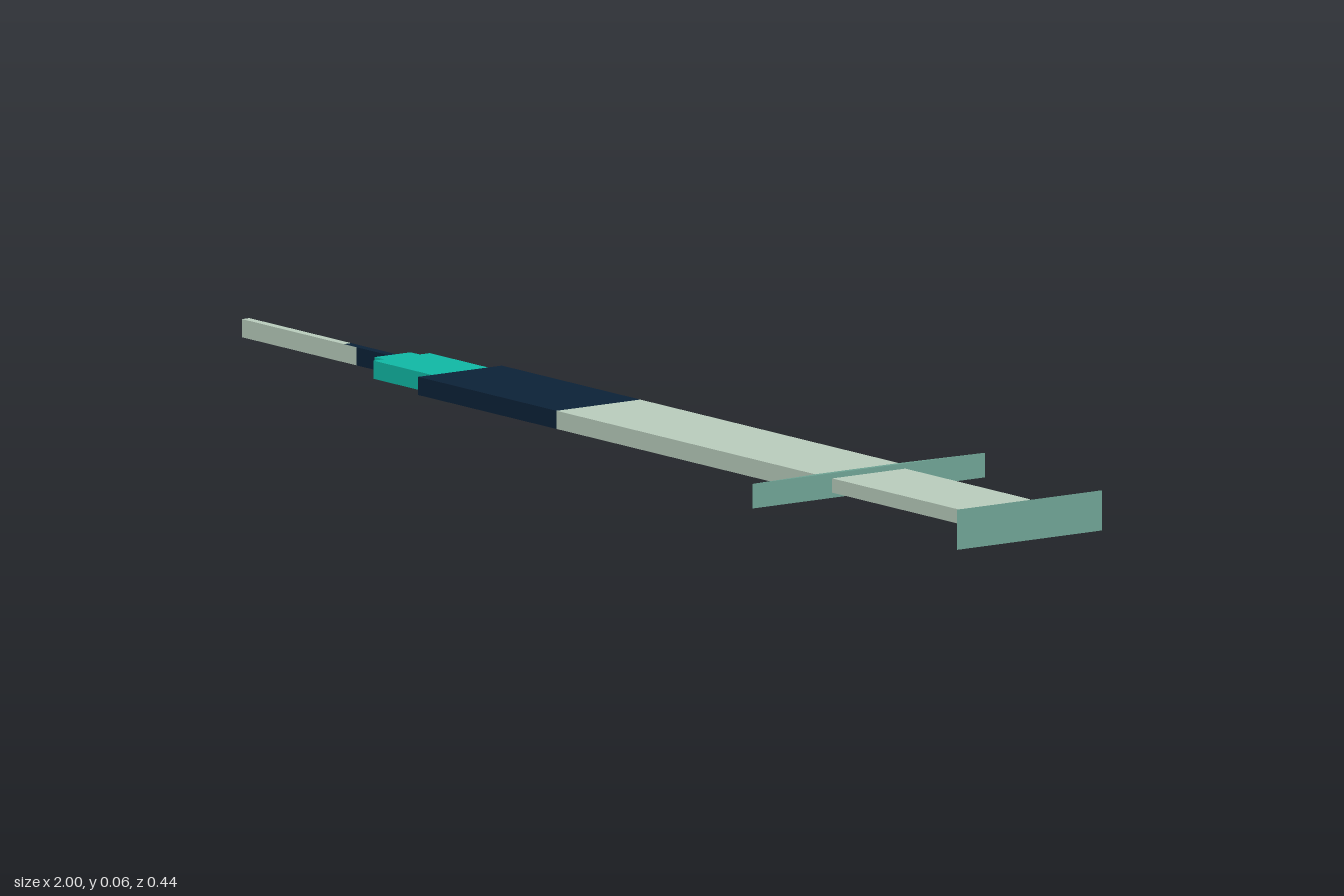
import * as THREE from 'three';

const CENTRE_Y = 0.031;

function material(name, color) {
  const m = new THREE.MeshStandardMaterial({ color });
  m.name = name;
  return m;
}

// Rectangular bar along x, from a section [x, halfHeight, halfWidth] to another.
function bar(name, [x0, h0, w0], [x1, h1, w1], mat) {
  const geometry = new THREE.BoxGeometry(2, 2, 2).toNonIndexed();
  const p = geometry.attributes.position;
  for (let i = 0; i < p.count; i++) {
    const end = p.getX(i) > 0;
    p.setXYZ(i, end ? x1 : x0, p.getY(i) * (end ? h1 : h0), p.getZ(i) * (end ? w1 : w0));
  }
  // Same face order as a box: +x, -x, +y, -y, +z, -z.
  if (Array.isArray(mat)) {
    geometry.clearGroups();
    mat.forEach((_, i) => geometry.addGroup(i * 6, 6, i));
  }
  geometry.computeVertexNormals();
  const mesh = new THREE.Mesh(geometry, mat);
  mesh.name = name;
  mesh.position.y = CENTRE_Y;
  return mesh;
}

export function createModel() {
  const pale = material('pale grey green', 0xb9cdbd);
  const green = material('muted green', 0x72a899);
  const teal = material('teal', 0x10b8a5);
  const navy = material('navy', 0x0c2238);

  const group = new THREE.Group();
  group.name = 'syringe';
  group.add(
    // Needle: the dark base reaches a little further along its top and bottom
    bar('needle', [-1, 0.014, 0.007], [-0.74, 0.014, 0.007], pale),
    bar('needleTransition', [-0.74, 0.014, 0.007], [-0.708, 0.014, 0.007],
      [navy, pale, navy, navy, pale, pale]),
    bar('needleBase', [-0.708, 0.014, 0.007], [-0.625, 0.014, 0.007], navy),

    // Stepped hub
    bar('hubTip', [-0.625, 0.014, 0.034], [-0.602, 0.014, 0.034], teal),
    bar('hub', [-0.602, 0.014, 0.053], [-0.453, 0.014, 0.053], teal),

    // Barrel, filled at the needle end
    bar('barrelFilled', [-0.453, 0.014, 0.079], [-0.1, 0.014, 0.079], navy),
    bar('barrelEmpty', [-0.1, 0.014, 0.079], [0.56, 0.014, 0.079], pale),

    // Finger flange flaring out from the barrel
    bar('fingerFlange', [0.56, 0.014, 0.079], [0.59, 0.019, 0.219], green),

    // Plunger rod, chamfered at its end, with a narrow neck
    bar('plungerRod', [0.59, 0.011, 0.069], [0.908, 0.011, 0.069], pale),
    bar('plungerChamfer', [0.908, 0.011, 0.069], [0.928, 0.011, 0.043], pale),
    bar('plungerNeck', [0.928, 0.009, 0.041], [0.976, 0.009, 0.041], green),

    // Flared thumb plate with a green outer face
    bar('thumbPlate', [0.976, 0.011, 0.041], [1, 0.031, 0.137],
      [green, pale, pale, pale, pale, pale])
  );
  return group;
}
